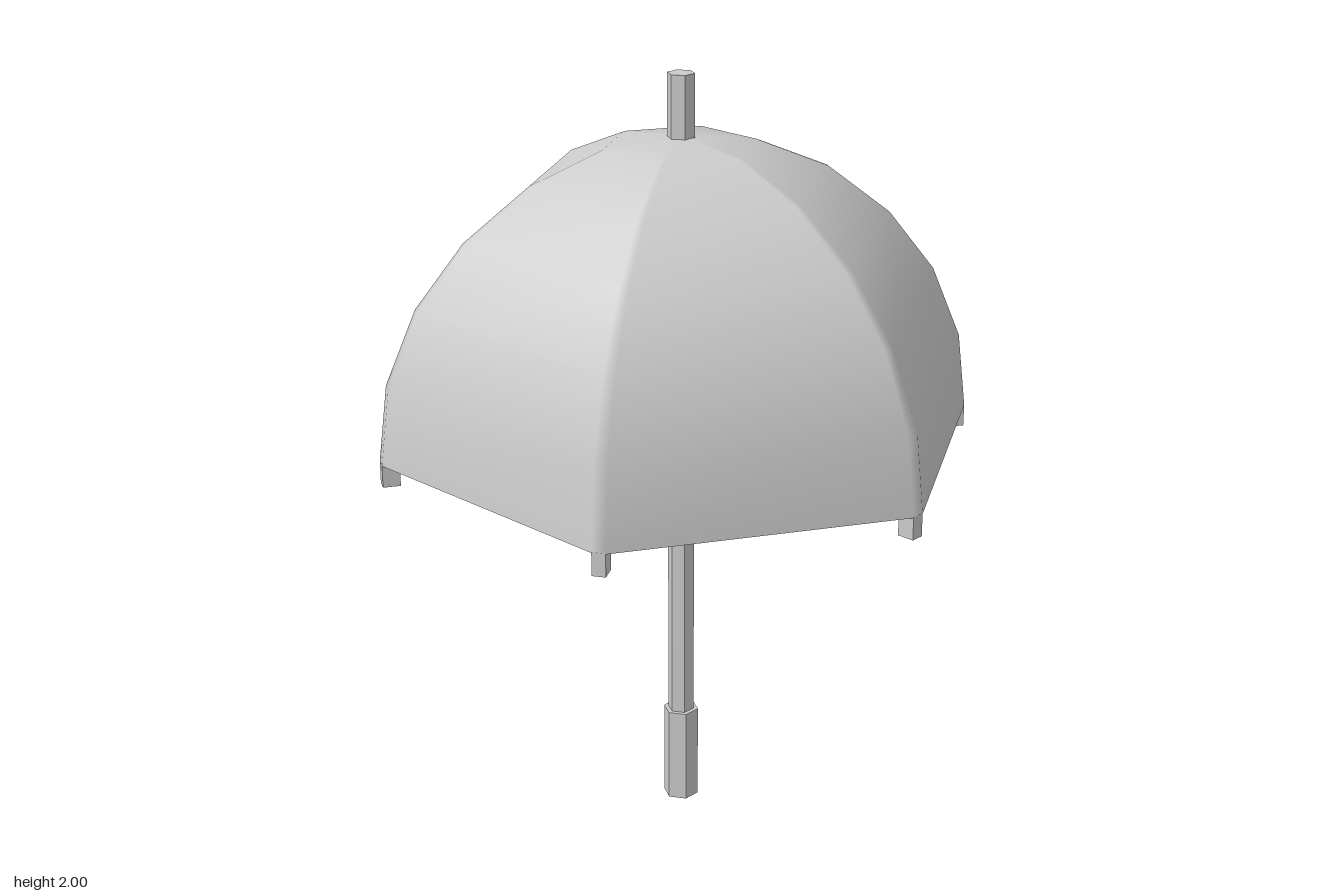
import * as THREE from 'three';
import { mergeVertices } from 'three/addons/utils/BufferGeometryUtils.js';

const SIDES = 6;
const smooth = new THREE.MeshStandardMaterial({ color: 0xcccccc });
const flat = new THREE.MeshStandardMaterial({ color: 0xcccccc, flatShading: true });

// Outer and inner canopy curves along a rib: [radius, height], rim to crown
const OUTER = [[0.78, 1.06], [0.755, 1.26], [0.675, 1.45], [0.55, 1.61], [0.385, 1.74], [0.198, 1.82], [0, 1.845]];
const INNER = [[0.735, 1.06], [0.71, 1.25], [0.637, 1.425], [0.519, 1.576], [0.364, 1.698], [0.188, 1.775], [0, 1.8]];
const RIB_HALF = 0.017;

// Hexagonal ring with each corner cut narrowly at the rib
function ring([r, y]) {
  const points = [];
  const half = RIB_HALF * r / OUTER[0][0];
  for (let i = 0; i < SIDES; i++) {
    const a = i * Math.PI * 2 / SIDES;
    for (const s of [-half, half]) {
      points.push([r * Math.cos(a) + s * Math.sin(a), y, -r * Math.sin(a) + s * -Math.cos(a)].map((v, k) =>
        k === 0 ? r * Math.cos(a) - s * Math.sin(a) : v));
    }
  }
  return points;
}

// Skin a profile with quads between successive rings
function skin(profile) {
  const positions = profile.flatMap(p => ring(p).flat());
  const n = SIDES * 2;
  const index = [];
  for (let j = 0; j < profile.length - 1; j++) {
    for (let i = 0; i < n; i++) {
      const a = j * n + i, b = j * n + (i + 1) % n;
      index.push(a, b, b + n, a, b + n, a + n);
    }
  }
  let geometry = new THREE.BufferGeometry();
  geometry.setAttribute('position', new THREE.Float32BufferAttribute(positions, 3));
  geometry.setIndex(index);
  geometry = mergeVertices(geometry, 1e-5);
  geometry.computeVertexNormals();
  return geometry;
}

function add(parent, name, geometry, material, x = 0, y = 0, z = 0) {
  const mesh = new THREE.Mesh(geometry, material);
  mesh.name = name;
  mesh.position.set(x, y, z);
  parent.add(mesh);
  return mesh;
}

export function createModel() {
  const model = new THREE.Group();
  model.name = 'umbrella';

  // Canopy shell: outside, lining and flat rim between them
  const canopy = new THREE.Group();
  canopy.name = 'canopy';
  model.add(canopy);
  add(canopy, 'canopyOuter', skin(OUTER), smooth);
  add(canopy, 'canopyLining', skin([...INNER].reverse()), smooth);
  add(canopy, 'canopyRim', skin([INNER[0], OUTER[0]]), flat);

  // Rib tips hanging below each corner
  const tip = new THREE.BoxGeometry(0.045, 0.06, RIB_HALF * 2);
  for (let i = 0; i < SIDES; i++) {
    const a = i * Math.PI * 2 / SIDES;
    const mesh = add(model, 'ribTip', tip, flat, 0.7575 * Math.cos(a), 1.032, -0.7575 * Math.sin(a));
    mesh.rotation.y = a;
  }

  // Shaft through the crown, and the thicker handle
  add(model, 'shaft', new THREE.CylinderGeometry(0.035, 0.035, 1.9, 6), flat, 0, 1.05, 0);
  add(model, 'handle', new THREE.CylinderGeometry(0.047, 0.047, 0.26, 6), flat, 0, 0.13, 0);
  return model;
}
